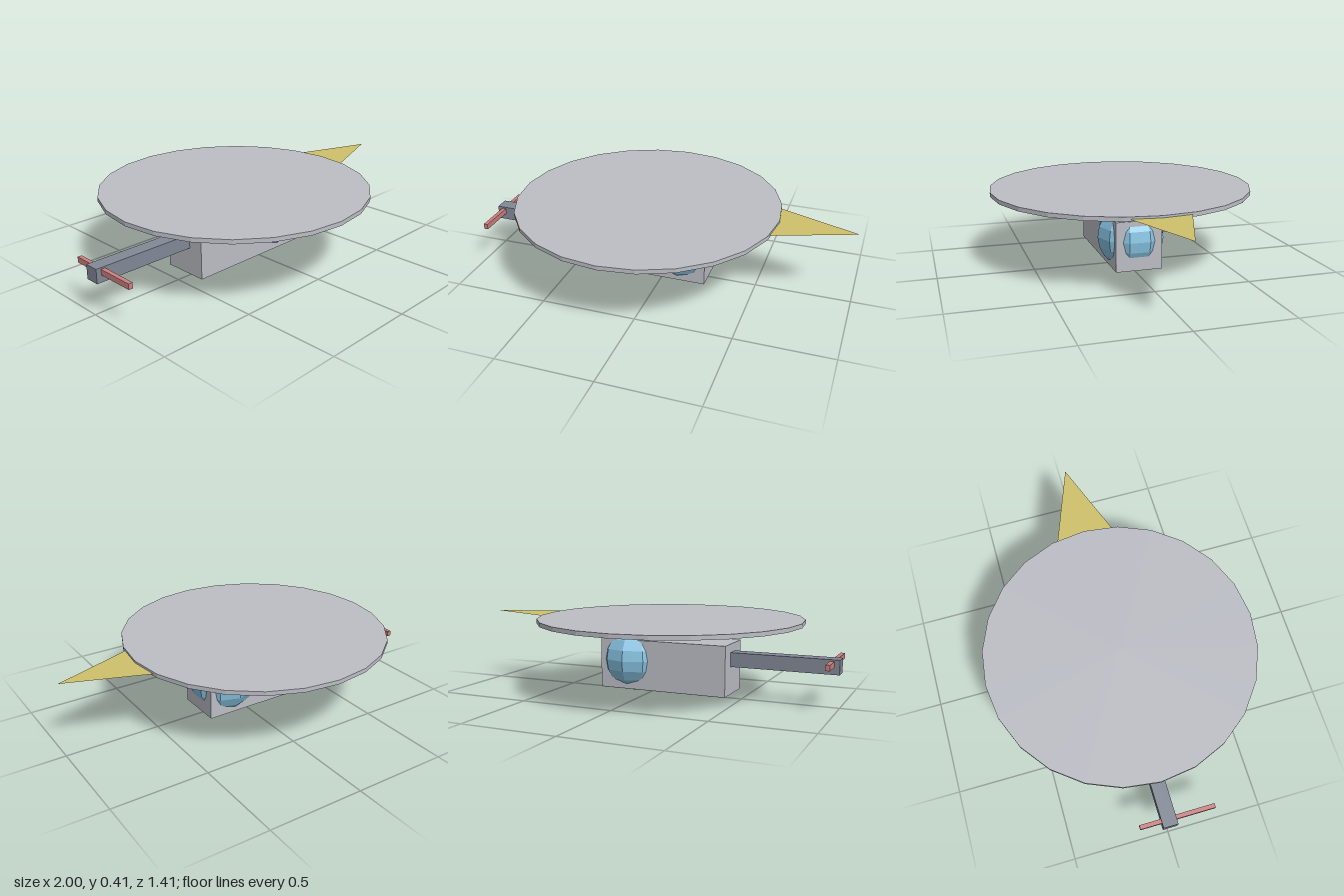
import * as THREE from 'three';

const material = (name, color, options = {}) => {
  const m = new THREE.MeshStandardMaterial({ color, flatShading: true, ...options });
  m.name = name;
  return m;
};

export function createModel() {
  const group = new THREE.Group();
  const silver = material('silver', 0xbcbec5);
  const slate = material('slate grey', 0x828996);
  const blue = material('sky blue', 0x87c3e2);
  const red = material('soft red', 0xcc8080);
  const yellow = material('straw yellow', 0xcfc16a, { side: THREE.DoubleSide });

  const add = (name, geometry, mat, x, y, z) => {
    const mesh = new THREE.Mesh(geometry, mat);
    mesh.name = name;
    mesh.position.set(x, y, z);
    group.add(mesh);
    return mesh;
  };

  // Fuselage with the cabin bubble bulging through its faces
  add('fuselage', new THREE.BoxGeometry(0.7, 0.263, 0.246), silver, -0.1, 0.16, 0);
  const bubble = new THREE.SphereGeometry(0.18, 10, 10).rotateY(Math.PI / 2);
  add('cabinBubble', bubble, blue, 0.1, 0.182, 0);

  // Tail boom and its small offset rotor
  add('tailBoom', new THREE.BoxGeometry(0.56, 0.074, 0.076), slate, -0.72, 0.21, 0);
  add('tailRotor', new THREE.BoxGeometry(0.022, 0.029, 0.39), red, -0.963, 0.2245, 0.046);

  // Main rotor disc
  add('mainRotor', new THREE.CylinderGeometry(0.703, 0.703, 0.022, 24), silver, -0.1, 0.397, 0);

  // Flat pointer reaching out from the rotor rim
  const pointer = new THREE.Shape([
    new THREE.Vector2(1, 0),
    new THREE.Vector2(0.5, 0.184),
    new THREE.Vector2(0.5, -0.184),
  ]);
  add('pointer', new THREE.ShapeGeometry(pointer).rotateX(-Math.PI / 2), yellow, 0, 0.397, 0);

  return group;
}
